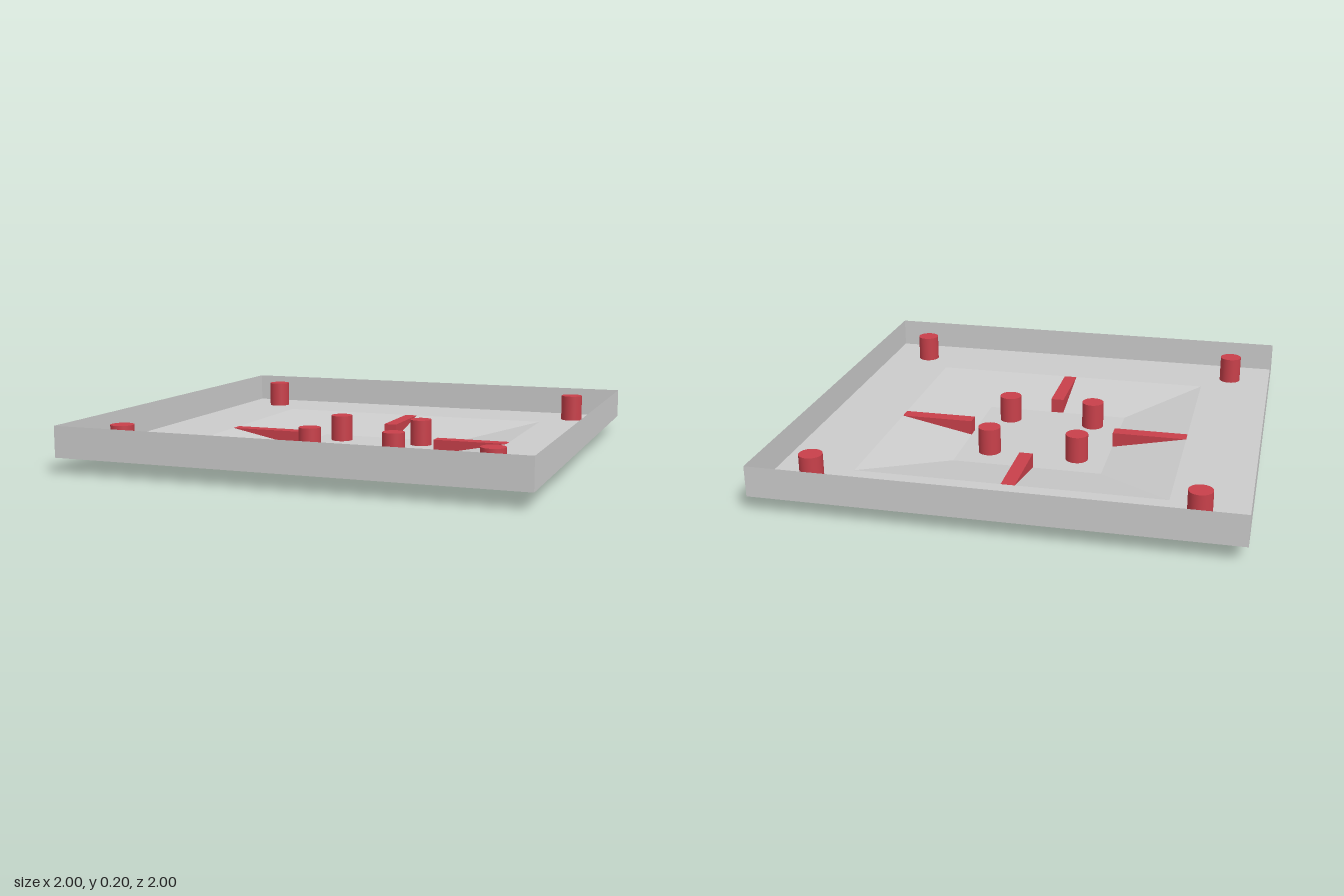
import * as THREE from 'three';

export function createModel() {
  const model = new THREE.Group();
  const grey = new THREE.MeshStandardMaterial({ color: 0xcccccc, flatShading: true, side: THREE.DoubleSide });
  const red = new THREE.MeshStandardMaterial({ color: 0xc8404a });
  const floorY = 0.067, topY = 0.2;
  const innerHalf = 0.333, outerHalf = 0.667;

  function add(geometry, material, name, x = 0, y = 0, z = 0) {
    const mesh = new THREE.Mesh(geometry, material);
    mesh.name = name;
    mesh.position.set(x, y, z);
    model.add(mesh);
    return mesh;
  }

  // Thin square tray: sunken centre, sloped sides, flat margin and upright rim
  const profile = [[0, 0], [innerHalf, 0], [outerHalf, floorY], [1, floorY], [1, topY]]
    .map(([half, y]) => new THREE.Vector2(half * Math.SQRT2, y));
  const tray = new THREE.LatheGeometry(profile, 4, Math.PI / 4).toNonIndexed();
  tray.computeVertexNormals();
  add(tray, grey, 'tray');

  // Four ribs crossing the sloped sides
  const ribLength = outerHalf - innerHalf, ribMid = (outerHalf + innerHalf) / 2;
  const ribShape = new THREE.BoxGeometry(0.06, floorY, ribLength);
  for (let i = 0; i < 4; i++) {
    const angle = i * Math.PI / 2;
    const rib = add(ribShape, red, 'rib', Math.sin(angle) * ribMid, floorY / 2, Math.cos(angle) * ribMid);
    rib.rotation.y = angle;
  }

  // Pegs: four in the sunken centre, four near the corners
  const pegHeight = 0.12;
  const pegShape = new THREE.CylinderGeometry(0.05, 0.05, pegHeight, 32);
  for (const [offset, baseY, name] of [[0.2, 0, 'centrePeg'], [0.8, floorY, 'cornerPeg']]) {
    for (const sx of [-1, 1]) for (const sz of [-1, 1]) {
      add(pegShape, red, name, sx * offset, baseY + pegHeight / 2 + 0.001, sz * offset);
    }
  }
  return model;
}
